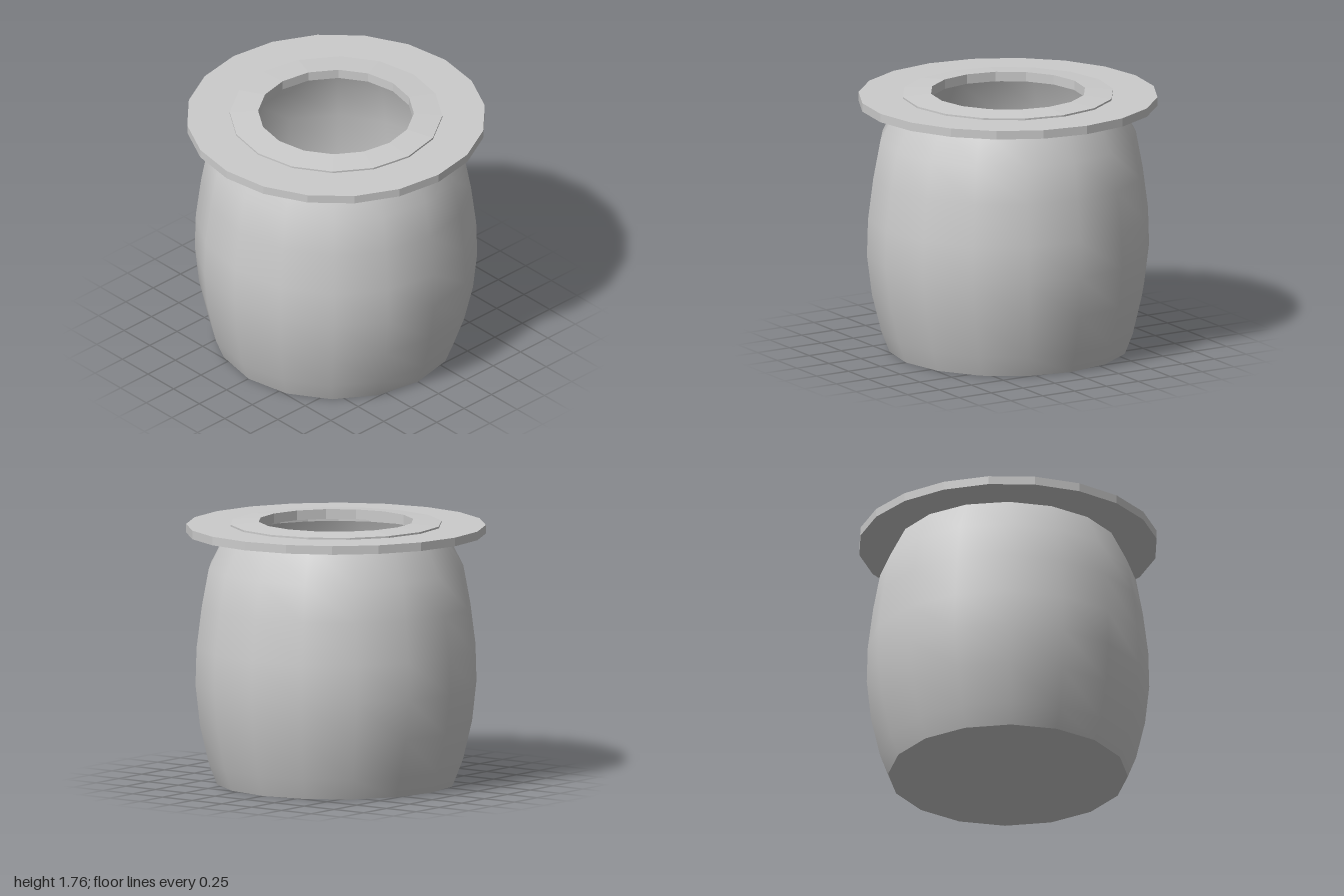
import * as THREE from 'three';

const smooth = new THREE.MeshStandardMaterial({ color: 0xcccccc });
const faceted = new THREE.MeshStandardMaterial({ color: 0xcccccc, flatShading: true });

// Revolve [radius, height] pairs; bottom-to-top order faces outward
function revolve(name, profile, sides, material) {
  const points = profile.map(([r, y]) => new THREE.Vector2(r, y));
  const mesh = new THREE.Mesh(new THREE.LatheGeometry(points, sides), material);
  mesh.name = name;
  return mesh;
}

// The barrel is slightly narrower front to back, except at its foot
function narrowDepth(mesh) {
  const p = mesh.geometry.attributes.position;
  for (let i = 0; i < p.count; i++) {
    const t = Math.min(1, Math.max(0, (p.getY(i) - 0.14) / 0.5));
    p.setZ(i, p.getZ(i) * (1 - 0.035 * t));
  }
  return mesh;
}

export function createModel() {
  const model = new THREE.Group();

  // Barrel-shaped outer wall
  model.add(narrowDepth(revolve('potWall', [
    [0.8, 0], [0.855, 0.14], [0.923, 0.4], [0.96, 0.67],
    [0.953, 0.92], [0.917, 1.2], [0.87, 1.45], [0.75, 1.68],
  ], 16, smooth)));

  // Flat base
  model.add(revolve('base', [[0, 0], [0.8, 0]], 16, faceted));

  // Hollow inside: wall from the rim down, then the floor
  model.add(narrowDepth(revolve('innerWall', [
    [0.69, 1.69], [0.8, 1.45], [0.85, 1.2], [0.88, 0.92],
    [0.885, 0.67], [0.855, 0.4], [0.8, 0.14], [0.77, 0.08],
  ], 16, smooth)));
  model.add(revolve('innerFloor', [[0.77, 0.08], [0, 0.08]], 16, faceted));

  // Wide flange with a slightly sloping underside
  model.add(revolve('flange', [
    [0.66, 1.665], [0.8, 1.665], [1, 1.68], [1, 1.738], [0.66, 1.738], [0.66, 1.665],
  ], 20, faceted));

  // Raised collar around the opening
  model.add(revolve('collar', [
    [0.52, 1.7], [0.71, 1.7], [0.71, 1.75], [0.52, 1.765], [0.52, 1.7],
  ], 16, faceted));

  return model;
}
